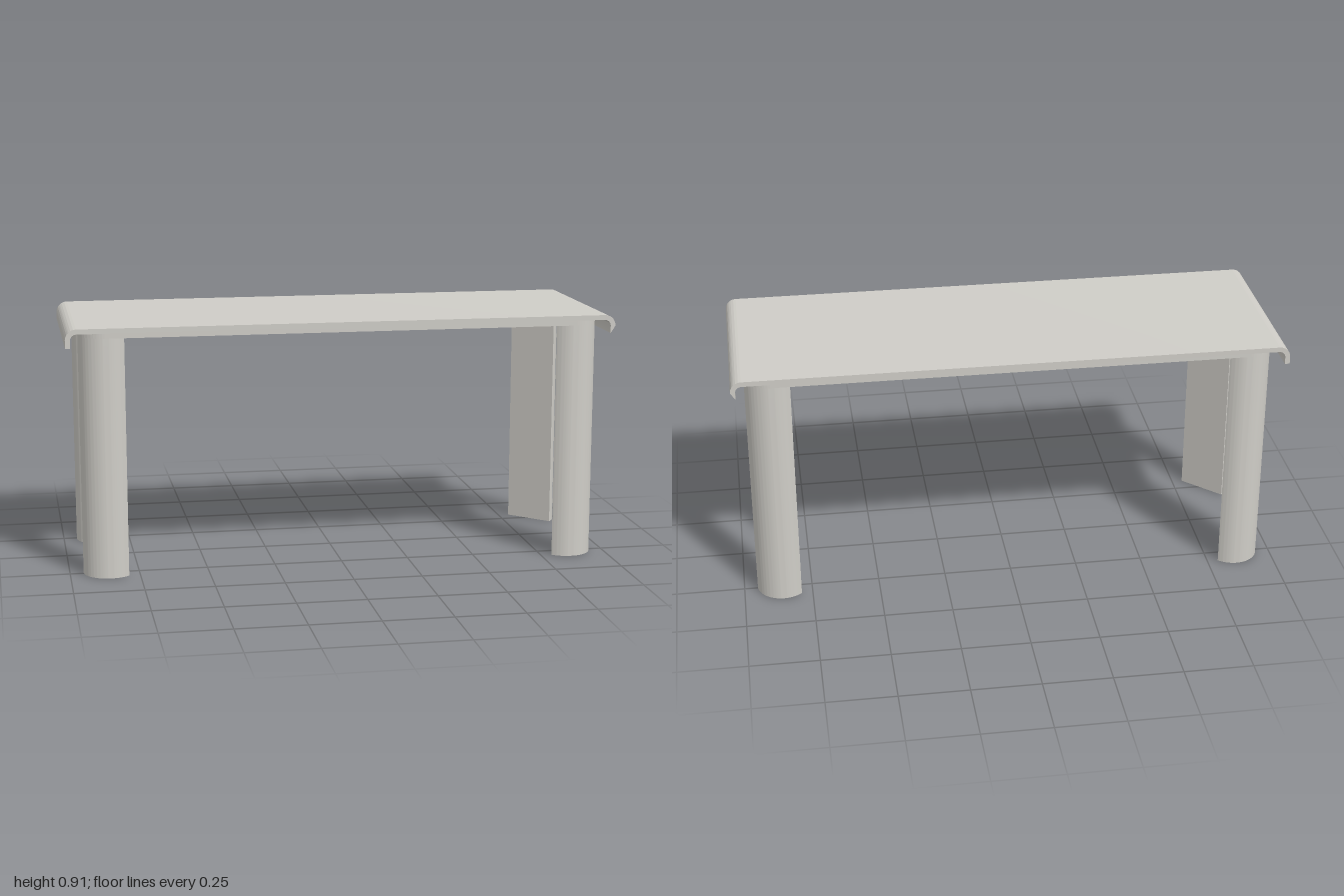
import * as THREE from 'three';
import { toCreasedNormals } from 'three/addons/utils/BufferGeometryUtils.js';

const H = 0.91;        // overall height
const T = 0.018;       // sheet thickness
const R = 0.04;        // bend radius of the top
const LIP = 0.843;     // lower edge of the folded ends
const DEPTH = 0.7;
const LEG_R = 0.094, LEG_X = 0.857, LEG_Z = 0.241;
const PLATE_Y = 0.872;

function extrude(shape, depth) {
  const geo = new THREE.ExtrudeGeometry(shape, { depth, bevelEnabled: false, curveSegments: 32 });
  return toCreasedNormals(geo, 0.5);
}

// Extrude a plan shape upwards (shape y becomes -z)
function extrudeUp(shape, height) {
  return extrude(shape, height).rotateX(-Math.PI / 2);
}

export function createModel() {
  const group = new THREE.Group();
  const paint = new THREE.MeshStandardMaterial({ color: 0xcfcdc7 });
  paint.name = 'warm grey';

  const add = (name, geo, x, y, z) => {
    const mesh = new THREE.Mesh(geo, paint);
    mesh.name = name;
    mesh.position.set(x, y, z);
    group.add(mesh);
  };

  // Table top: a sheet with both ends bent down
  const PI = Math.PI, cx = 1 - R, cy = H - R;
  const top = new THREE.Shape();
  top.moveTo(1, LIP);
  top.absarc(cx, cy, R, 0, PI / 2, false);
  top.absarc(-cx, cy, R, PI / 2, PI, false);
  top.lineTo(-1, LIP);
  top.lineTo(-1 + T, LIP);
  top.absarc(-cx, cy, R - T, PI, PI / 2, true);
  top.absarc(cx, cy, R - T, PI / 2, 0, true);
  top.lineTo(1 - T, LIP);
  top.closePath();
  add('tableTop', extrude(top, DEPTH), 0, 0, -DEPTH / 2);

  // Under plate: rounded corners follow the legs
  const plate = new THREE.Shape();
  plate.absarc(LEG_X, LEG_Z, LEG_R, 0, PI / 2, false);
  plate.absarc(-LEG_X, LEG_Z, LEG_R, PI / 2, PI, false);
  plate.absarc(-LEG_X, -LEG_Z, LEG_R, PI, PI * 1.5, false);
  plate.absarc(LEG_X, -LEG_Z, LEG_R, PI * 1.5, PI * 2, false);
  plate.closePath();
  add('underPlate', extrudeUp(plate, H - T - PLATE_Y), 0, PLATE_Y, 0);

  // Half-round legs, flat faces turned diagonally inwards
  for (const sx of [1, -1]) {
    for (const sz of [1, -1]) {
      const a = Math.atan2(-sz, sx);
      const leg = new THREE.Shape();
      leg.absarc(0, 0, LEG_R, a - PI / 2, a + PI / 2, false);
      leg.closePath();
      const name = (sz > 0 ? 'front' : 'back') + (sx > 0 ? 'Left' : 'Right') + 'Leg';
      add(name, extrudeUp(leg, PLATE_Y), sx * LEG_X, 0, sz * LEG_Z);
    }
  }
  return group;
}
